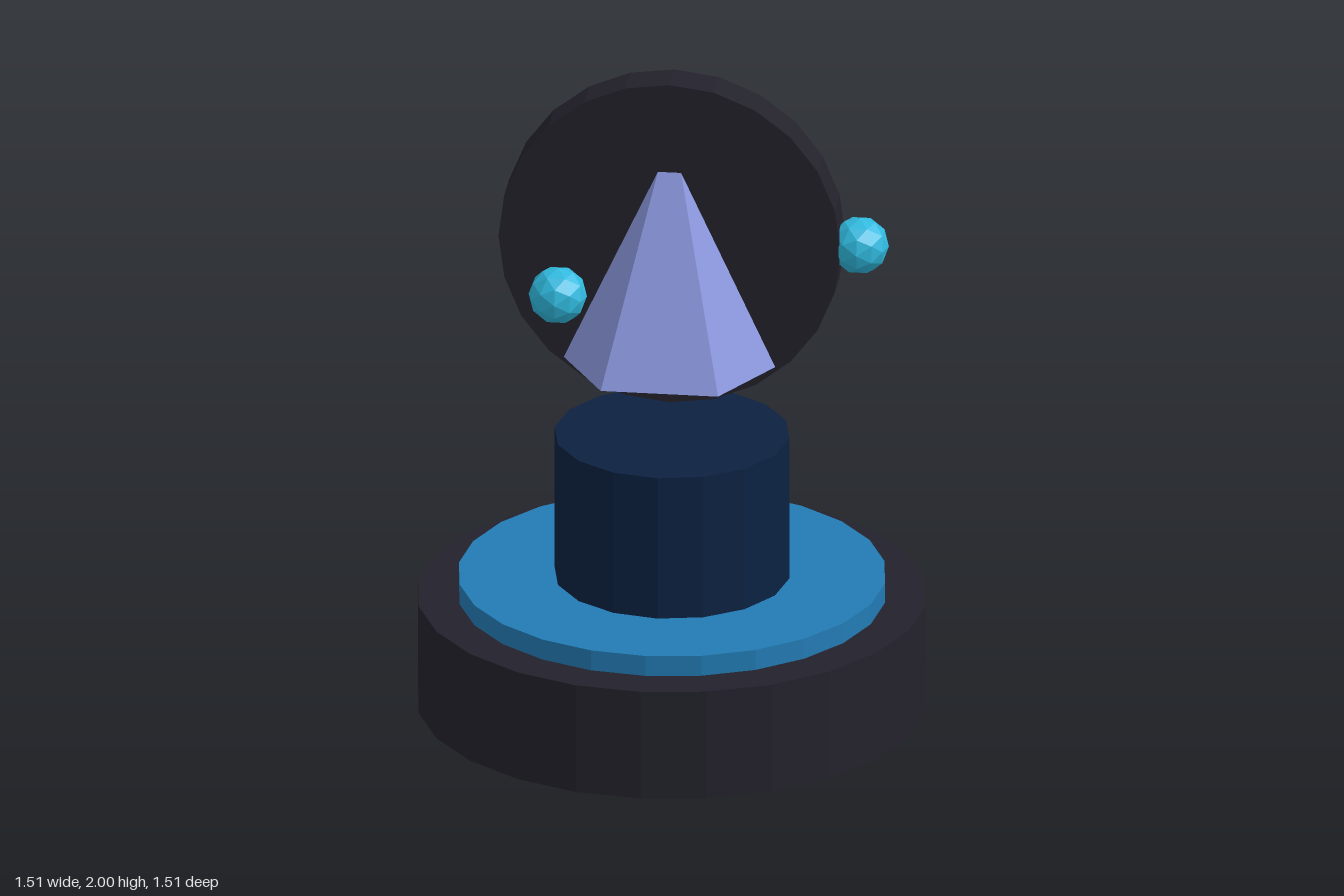
import * as THREE from 'three';

function colour(name, hex) {
  const m = new THREE.MeshStandardMaterial({ color: hex });
  m.name = name;
  return m;
}

// Give every facet its own normal for the low-poly look
function faceted(geometry) {
  const g = geometry.index ? geometry.toNonIndexed() : geometry;
  g.computeVertexNormals();
  return g;
}

export function createModel() {
  const charcoal = colour('charcoal', 0x23222c);
  const navy = colour('navy', 0x0c2242);
  const blue = colour('blue', 0x227bb5);
  const lavender = colour('lavender', 0x8b97df);
  const cyan = colour('cyan', 0x2fb9de);

  const model = new THREE.Group();
  model.name = 'crystalPedestal';

  function add(name, geometry, material, x = 0, y = 0, z = 0) {
    const mesh = new THREE.Mesh(faceted(geometry), material);
    mesh.name = name;
    mesh.position.set(x, y, z);
    model.add(mesh);
    return mesh;
  }

  // Upright drum between two heights
  function drum(name, radius, y0, y1, sides, material) {
    return add(name, new THREE.CylinderGeometry(radius, radius, y1 - y0, sides), material, 0, (y0 + y1) / 2);
  }

  // Stepped pedestal
  drum('base', 0.757, 0, 0.343, 24, charcoal);
  drum('trimPlate', 0.635, 0.343, 0.407, 24, blue);
  drum('column', 0.35, 0.407, 0.858, 16, navy);

  // Floating upright disc
  const disc = new THREE.CylinderGeometry(0.51, 0.51, 0.12, 24).rotateX(Math.PI / 2);
  add('disc', disc, charcoal, 0, 1.49, 0);

  // Six-sided crystal passing through the disc
  const crystal = new THREE.ConeGeometry(0.35, 0.76, 6).rotateY(Math.PI / 6);
  add('crystal', crystal, lavender, 0, 1.49, 0);

  // Three orbs circling the disc
  for (let i = 0; i < 3; i++) {
    const a = (i * Math.PI * 2) / 3;
    add('orb' + (i + 1), new THREE.IcosahedronGeometry(0.087, 1), cyan,
      0.56 * Math.cos(a), 1.49, 0.56 * Math.sin(a));
  }

  return model;
}
